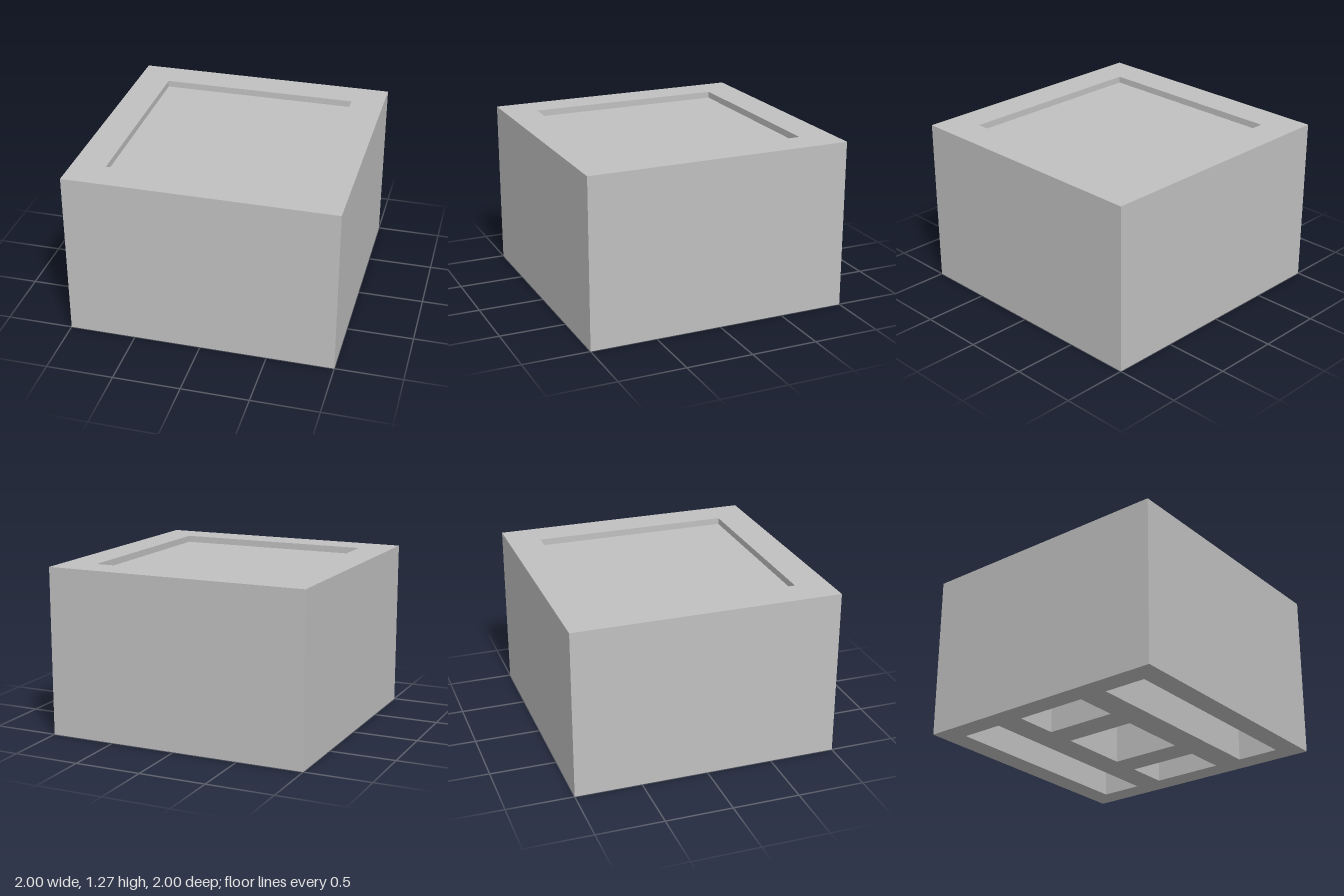
import * as THREE from 'three';

const SIZE = 2, HEIGHT = 1.27;
const RECESS = 0.75, RECESS_DEPTH = 0.05;
const POCKET_TOP = 1.05;

// Underside pockets: [x0, x1, z0, z1]
const POCKETS = {
  longPocketFront: [-0.83, 0.83, 0.5, 0.83],
  longPocketBack: [-0.83, 0.83, -0.83, -0.5],
  centrePocket: [-0.28, 0.28, -0.28, 0.28],
  smallPocketLeft: [0.5, 0.83, -0.28, 0.28],
  smallPocketRight: [-0.83, -0.5, -0.28, 0.28],
};

// Box sides with chosen faces left out (2 = top, 3 = bottom); inward turns it into a cavity
function openBox([x0, x1, z0, z1], y0, y1, skip, inward) {
  const geo = new THREE.BoxGeometry(x1 - x0, y1 - y0, z1 - z0);
  geo.translate((x0 + x1) / 2, (y0 + y1) / 2, (z0 + z1) / 2);
  const source = Array.from(geo.index.array);
  const index = [];
  for (let face = 0; face < 6; face++) {
    if (skip.includes(face)) continue;
    const part = source.slice(face * 6, face * 6 + 6);
    index.push(...(inward ? part.reverse() : part));
  }
  geo.setIndex(index);
  geo.clearGroups();
  geo.computeVertexNormals();
  return geo;
}

function tracePath(path, [x0, x1, z0, z1]) {
  path.moveTo(x0, z0);
  path.lineTo(x1, z0);
  path.lineTo(x1, z1);
  path.lineTo(x0, z1);
  path.closePath();
  return path;
}

// Flat horizontal plate with rectangular openings, facing up or down
function holedPlate(outer, holes, y, up) {
  const shape = tracePath(new THREE.Shape(), outer);
  holes.forEach((h) => shape.holes.push(tracePath(new THREE.Path(), h)));
  const geo = new THREE.ShapeGeometry(shape);
  geo.rotateX(up ? -Math.PI / 2 : Math.PI / 2);
  geo.translate(0, y, 0);
  return geo;
}

export function createModel() {
  const grey = new THREE.MeshStandardMaterial({ color: 0xc0c0c0 });
  grey.name = 'light grey';

  const model = new THREE.Group();
  model.name = 'block';
  const add = (name, geo) => {
    const mesh = new THREE.Mesh(geo, grey);
    mesh.name = name;
    model.add(mesh);
  };

  const h = SIZE / 2;
  const outline = [-h, h, -h, h];
  const recess = [-RECESS, RECESS, -RECESS, RECESS];

  // Outer shell
  add('outerWalls', openBox(outline, 0, HEIGHT, [2, 3], false));
  add('topRim', holedPlate(outline, [recess], HEIGHT, true));
  add('underside', holedPlate(outline, Object.values(POCKETS), 0, false));

  // Shallow square recess in the top
  add('topRecess', openBox(recess, HEIGHT - RECESS_DEPTH, HEIGHT, [2], true));

  // Deep pockets opening downward
  for (const [name, rect] of Object.entries(POCKETS)) {
    add(name, openBox(rect, 0, POCKET_TOP, [3], true));
  }
  return model;
}
